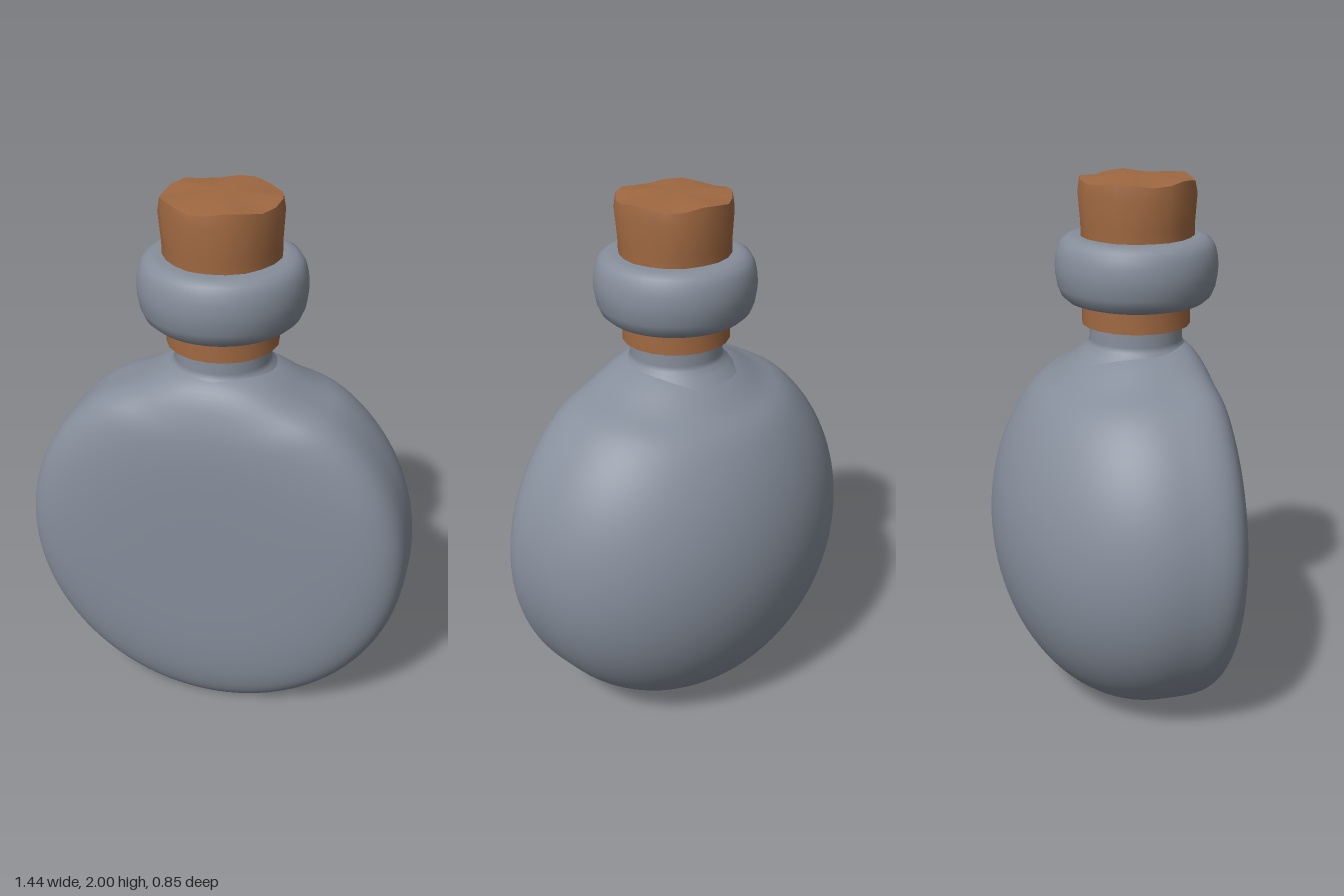
import * as THREE from 'three';
import { mergeVertices, toCreasedNormals } from 'three/addons/utils/BufferGeometryUtils.js';

const NECK_Z = 0.128;

export function createModel() {
  const glass = new THREE.MeshStandardMaterial({ color: 0x868e9b });
  glass.name = 'greyGlass';
  const corkBrown = new THREE.MeshStandardMaterial({ color: 0x9f6841 });
  corkBrown.name = 'corkBrown';

  const model = new THREE.Group();
  model.name = 'corkedFlask';
  const add = (name, geometry, material, z = 0) => {
    const mesh = new THREE.Mesh(geometry, material);
    mesh.name = name;
    mesh.position.z = z;
    model.add(mesh);
  };
  const points = list => list.map(([r, y]) => new THREE.Vector2(r, y));

  add('flaskBody', bodyGeometry(), glass);

  // Neck with a small fillet at the shoulder
  add('neck', new THREE.LatheGeometry(points([
    [0.23, 1.33], [0.195, 1.365], [0.178, 1.383], [0.172, 1.4], [0.172, 1.56],
  ]), 48), glass, NECK_Z);

  // Rounded lip around the stopper
  add('lipCollar', new THREE.LatheGeometry(points([
    [0.17, 1.538], [0.225, 1.538], [0.252, 1.546], [0.274, 1.566], [0.288, 1.598],
    [0.295, 1.64], [0.297, 1.67], [0.294, 1.705], [0.286, 1.738], [0.272, 1.762],
    [0.25, 1.776], [0.225, 1.78], [0.17, 1.78],
  ]), 64), glass, NECK_Z);

  add('corkLower', corkGeometry([[0, 1.457], [0.2, 1.457], [0.197, 1.56]], 0), corkBrown, NECK_Z);
  add('corkTop', corkGeometry([
    [0.206, 1.74], [0.206, 1.82], [0.214, 1.93], [0.206, 1.978], [0, 1.998],
  ], 1), corkBrown, NECK_Z);

  return model;
}

// Round body: domed back, flattened front, flat foot, sloping shoulders
function bodyGeometry() {
  const R = 0.72, CY = 0.68, n = 4.6, steps = 28;
  const profile = [];
  for (let i = 0; i <= steps; i++) {
    const a = i / steps * Math.PI / 2;
    profile.push(new THREE.Vector2(R * Math.sin(a), NECK_Z - 0.553 * Math.cos(a)));
  }
  for (let i = 1; i <= steps; i++) {
    const a = Math.PI / 2 * (1 - (i / steps) ** 2);
    const r = i === steps ? 0 : Math.sin(a);
    profile.push(new THREE.Vector2(R * r, NECK_Z + 0.292 * (1 - r ** n) ** (1 / n)));
  }
  let g = new THREE.LatheGeometry(profile, 128);
  g.rotateX(Math.PI / 2);
  g.translate(0, CY, 0);
  const p = g.attributes.position;
  for (let i = 0; i < p.count; i++) {
    const y = p.getY(i);
    const d = Math.hypot(p.getX(i), p.getZ(i) - NECK_Z);
    const pinch = 0.025 * Math.exp(-(((d - 0.32) / 0.1) ** 2)) * THREE.MathUtils.smoothstep(y, 1.15, 1.3);
    p.setY(i, Math.max(0, y - pinch));
  }
  g.deleteAttribute('uv');
  g.deleteAttribute('normal');
  g = mergeVertices(g, 1e-5);
  g.computeVertexNormals();
  return g;
}

// Hand-cut cork: a lathe with a slightly uneven rim
function corkGeometry(profile, rough) {
  const g = new THREE.LatheGeometry(profile.map(([r, y]) => new THREE.Vector2(r, y)), 20);
  const p = g.attributes.position;
  for (let i = 0; i < p.count; i++) {
    const x = p.getX(i), y = p.getY(i), z = p.getZ(i);
    if (Math.hypot(x, z) < 0.01) continue;
    const a = Math.atan2(z, x);
    const wave = Math.sin(3 * a + y * 9) * 0.5 + Math.sin(7 * a + 1) * 0.5;
    const k = 1 + 0.018 * rough * wave;
    const lift = y > 1.95 ? 0.008 * Math.sin(5 * a + 2) : 0;
    p.setXYZ(i, x * k, y + lift, z * k);
  }
  return toCreasedNormals(g, 0.5);
}
